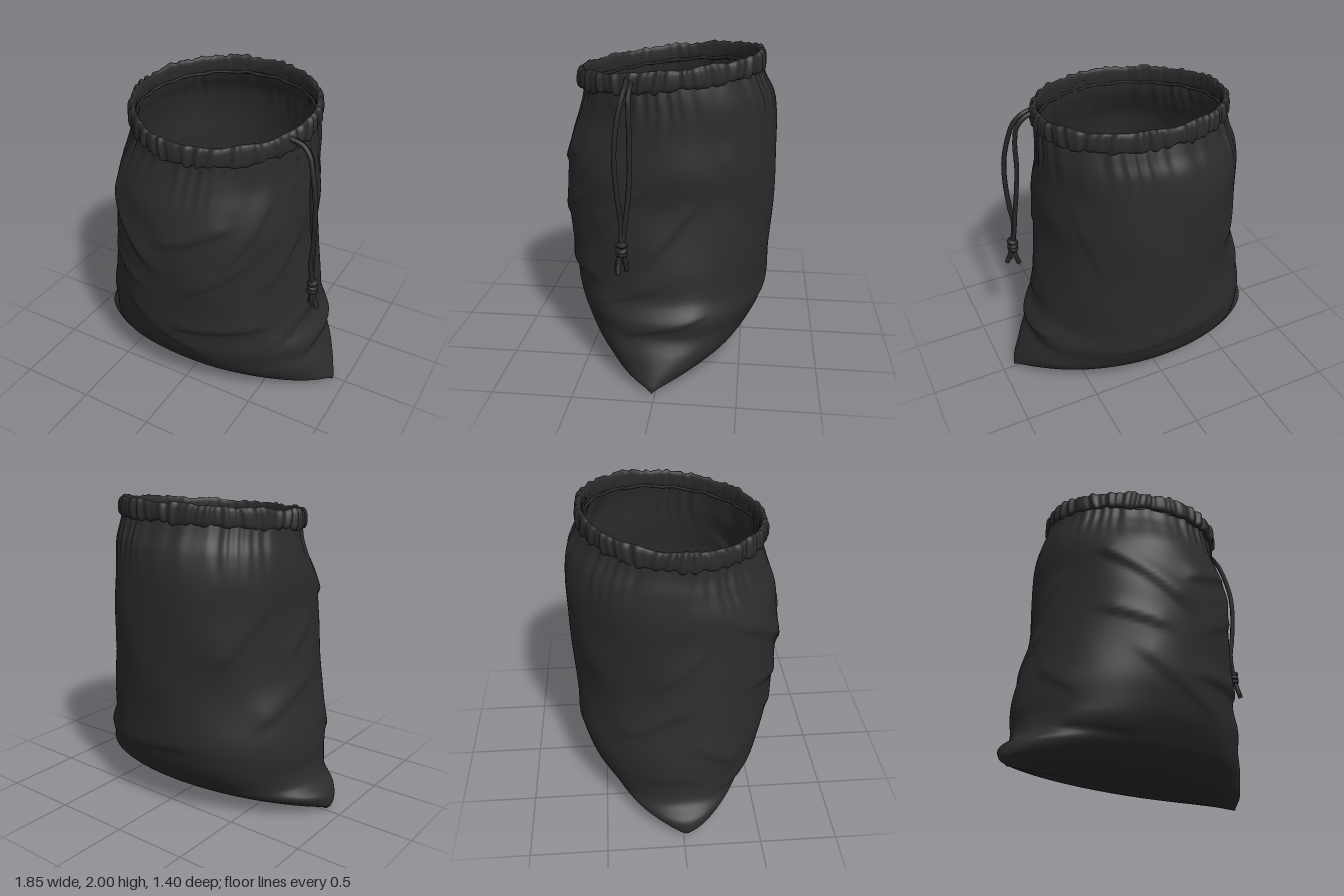
import * as THREE from 'three';

const TILT = 0.105; // the mouth slopes down towards the front
const smooth = THREE.MathUtils.smoothstep;

// Soft bulge around one compass direction, and the uneven roundness of the mouth
const lobe = (th, deg) => Math.max(0, Math.cos(th - deg * Math.PI / 180)) ** 5;
const mouthSkew = th => 0.02 * lobe(th, 315) - 0.035 * lobe(th, 135);

// Skin of a surface p(u, v); u wraps round, v optionally wraps too
function loft(nu, nv, wrapV, point) {
  const pos = [], idx = [];
  const rows = wrapV ? nv : nv + 1;
  for (let j = 0; j < rows; j++)
    for (let i = 0; i < nu; i++) pos.push(...point(i / nu, j / nv));
  for (let j = 0; j < nv; j++)
    for (let i = 0; i < nu; i++) {
      const k = (i + 1) % nu, r = j * nu, t = ((j + 1) % rows) * nu;
      idx.push(r + k, r + i, t + i, r + k, t + i, t + k);
    }
  const g = new THREE.BufferGeometry();
  g.setAttribute('position', new THREE.Float32BufferAttribute(pos, 3));
  g.setIndex(idx);
  g.computeVertexNormals();
  return g;
}

// Catmull-Rom interpolation of whole rows of numbers
function sampleRows(rows, v) {
  const f = v * (rows.length - 1), i = Math.min(Math.floor(f), rows.length - 2), t = f - i;
  const at = k => rows[Math.max(0, Math.min(rows.length - 1, k))];
  return rows[0].map((_, c) => {
    const a = at(i - 1)[c], b = at(i)[c], d = at(i + 1)[c], e = at(i + 2)[c];
    return b + 0.5 * t * (d - a + t * (2 * a - 5 * b + 4 * d - e + t * (3 * (b - d) + e - a)));
  });
}

// Bag sections: height, right edge, left edge, front, back, squareness
const SECTIONS = [
  [0.0, -0.89, 0.915, 0.02, 0.02, 2],
  [0.03, -0.92, 0.917, 0.2, -0.16, 2],
  [0.065, -0.928, 0.905, 0.36, -0.32, 2],
  [0.13, -0.91, 0.875, 0.46, -0.46, 2.05],
  [0.2, -0.83, 0.84, 0.52, -0.54, 2.12],
  [0.3, -0.8, 0.785, 0.585, -0.61, 2.15],
  [0.4, -0.8, 0.78, 0.62, -0.65, 2.12],
  [0.52, -0.785, 0.72, 0.645, -0.675, 2.1],
  [0.7, -0.75, 0.7, 0.67, -0.685, 2.08],
  [0.9, -0.71, 0.67, 0.69, -0.695, 2.08],
  [1.1, -0.68, 0.645, 0.7, -0.7, 2.1],
  [1.3, -0.66, 0.65, 0.685, -0.7, 2.1],
  [1.5, -0.66, 0.625, 0.66, -0.695, 2.06],
  [1.65, -0.635, 0.615, 0.61, -0.67, 2],
  [1.76, -0.6, 0.605, 0.57, -0.61, 2],
  [1.88, -0.58, 0.585, 0.555, -0.56, 2],
];

// Creases: start angle, start height, end angle, end height, depth, width
const FOLDS = [
  [150, 1.45, 90, 0.98, 0.024, 0.06], [55, 1.42, 95, 1.22, 0.02, 0.06],
  [140, 0.95, 105, 0.84, 0.016, 0.04], [90, 0.58, 35, 0.62, 0.02, 0.05],
  [150, 0.24, 110, 0.2, 0.018, 0.05], [80, 0.9, 45, 1.12, 0.014, 0.05],
  [30, 1.55, 60, 1.1, 0.013, 0.06], [0, 0.62, 40, 0.45, 0.016, 0.05],
  [-25, 0.45, 25, 0.3, 0.014, 0.05], [10, 1.2, 35, 0.9, 0.014, 0.05],
  [175, 0.9, 215, 0.65, 0.014, 0.06], [200, 1.4, 235, 1.0, 0.011, 0.07],
  [330, 1.45, 310, 1.0, 0.011, 0.07], [170, 1.25, 190, 1.05, 0.01, 0.05],
  [250, 0.5, 300, 0.4, 0.01, 0.06], [345, 1.1, 365, 0.8, 0.012, 0.05],
  [170, 0.6, 150, 0.45, 0.014, 0.05], [120, 0.7, 75, 0.36, 0.013, 0.06],
];

function foldDepth(deg, y) {
  let sum = 0;
  const K = 0.0115; // degrees to surface length
  for (const [a0, y0, a1, y1, depth, w] of FOLDS) {
    const da = ((deg - a0 + 540) % 360) - 180;
    const dx = (a1 - a0) * K, dy = y1 - y0, px = da * K, py = y - y0;
    const len = Math.hypot(dx, dy);
    const t = (px * dx + py * dy) / (len * len);
    const dist = (px * dy - py * dx) / len;
    const end = Math.max(0, Math.abs(t - 0.5) - 0.3) * len / 0.1;
    const side = dist * Math.sign(dx) > 0 ? w * 0.5 : w * 1.7;
    sum += depth * Math.exp(-((dist / side) ** 2) - end * end);
  }
  return sum;
}

function bagPoint(u, v) {
  const th = u * Math.PI * 2, c = Math.cos(th), s = Math.sin(th);
  const [y, x0, x1, zf, zb, p] = sampleRows(SECTIONS, v);
  const pw = (n) => Math.sign(n) * Math.abs(n) ** (2 / p);
  const mid = (x0 + x1) / 2, midZ = Math.min(0.02, (zf + zb) / 2);
  // creases, soft lumps, a dent at the back right and the gathers under the hem
  const body = smooth(y, 0.06, 0.3) * (1 - smooth(y, 1.6, 1.8));
  const lumps = 0.004 * Math.sin(3 * th + 5 * y) + 0.003 * Math.sin(7 * th - 8 * y + 1);
  const dent = 0.032 * lobe(th, 225) * Math.exp(-(((y - 0.85) / 0.28) ** 2));
  const pleat = (0.5 + 0.5 * Math.sin(5 * th + 1)) * Math.sin(41 * th + 3 * Math.sin(5 * th))
    + 0.6 * Math.sin(23 * th + 2 * Math.sin(3 * th));
  const gather = 0.007 * pleat * smooth(y, 1.45, 1.78);
  const d = body * (foldDepth(u * 360, y) - 0.005 + lumps) - dent + gather
    + mouthSkew(th) * smooth(y, 1.35, 1.8);
  const x = mid + (x1 - x0) / 2 * pw(c) + d * c;
  const z = midZ + (s > 0 ? zf - midZ : midZ - zb) * pw(s) + d * s;
  return [x, y - TILT * z * smooth(y, 1.1, 1.8), z];
}

// Puffed, ruffled hem round the mouth, with slanting gathers
function hemPoint(u, v) {
  const th = u * Math.PI * 2, ph = v * Math.PI * 2;
  const out = Math.cos(ph), up = Math.sin(ph);
  const a = th + 0.03 * up * Math.sin(6 * th + 1);
  const ruffle = Math.sin(37 * a + 2.5 * Math.sin(4 * a)) + 0.7 * Math.sin(61 * a + 3 * Math.sin(3 * a));
  const sway = Math.sin(9 * th) + Math.sin(14 * th + 2) + (up < 0 ? 1.2 * Math.sin(27 * th + 2 * Math.sin(5 * th)) : 0);
  const r = 0.58 + mouthSkew(th) + 0.021 * out + ruffle * 0.007 * (0.6 + 0.4 * out) - 0.004 * up;
  const x = r * 1.02 * Math.cos(th) + 0.006, z = r * Math.sin(th);
  const h = Math.sign(up) * Math.abs(up) ** 0.7 * (0.062 + 0.004 * sway);
  return [x, 1.873 - TILT * z + h + 0.003 * ruffle * up, z];
}

// Folded-in edge inside the hem
function edgePoint(u, v) {
  const a = u * Math.PI * 2, b = v * Math.PI * 2;
  const r = 0.562 + mouthSkew(a) + 0.009 * Math.cos(b) + 0.004 * Math.sin(31 * a);
  const z = r * Math.sin(a);
  const y = 1.823 - TILT * z + 0.01 * Math.sin(b) + 0.004 * Math.sin(17 * a);
  return [r * 1.02 * Math.cos(a) + 0.006, y, z];
}

export function createModel() {
  const model = new THREE.Group();
  const cloth = new THREE.MeshStandardMaterial({ color: 0x2b2b2b, side: THREE.DoubleSide });
  cloth.name = 'black cloth';
  const cordMat = new THREE.MeshStandardMaterial({ color: 0x262626 });
  cordMat.name = 'black cord';

  const add = (name, geo, mat, parent = model) => {
    const m = new THREE.Mesh(geo, mat);
    m.name = name;
    parent.add(m);
    return m;
  };

  add('bag', loft(240, 120, false, bagPoint), cloth);
  add('hem', loft(420, 18, true, hemPoint), cloth);
  add('innerHemEdge', loft(160, 6, true, edgePoint), cloth);

  // Drawstring: two strands, knot and frayed tails
  const drawstring = new THREE.Group();
  drawstring.name = 'drawstring';
  model.add(drawstring);
  const tube = (name, pts, r, n = 60) => {
    const path = new THREE.CatmullRomCurve3(pts.map(p => new THREE.Vector3(...p)));
    add(name, new THREE.TubeGeometry(path, n, r, 8), cordMat, drawstring);
  };
  tube('innerStrand', [[0.56, 1.87, 0.17], [0.64, 1.84, 0.17], [0.69, 1.785, 0.17], [0.71, 1.69, 0.168],
    [0.715, 1.5, 0.165], [0.735, 1.32, 0.165], [0.755, 1.15, 0.178], [0.765, 1.02, 0.195], [0.78, 0.9, 0.21]], 0.016);
  tube('outerStrand', [[0.56, 1.88, 0.2], [0.65, 1.85, 0.195], [0.7, 1.8, 0.205], [0.735, 1.7, 0.225],
    [0.768, 1.55, 0.243], [0.778, 1.4, 0.245], [0.772, 1.2, 0.23], [0.76, 1.06, 0.217], [0.785, 0.9, 0.21]], 0.016);
  for (const [y, tilt] of [[0.925, 0.3], [0.895, -0.35], [0.868, 0.15]]) {
    const wrap = add('knot', new THREE.TorusGeometry(0.02, 0.018, 8, 20), cordMat, drawstring);
    wrap.position.set(0.782, y, 0.21);
    wrap.rotation.set(Math.PI / 2, tilt, 0);
  }
  tube('tail', [[0.78, 0.88, 0.205], [0.775, 0.82, 0.19], [0.757, 0.752, 0.185]], 0.016, 12);
  tube('tail', [[0.785, 0.88, 0.215], [0.805, 0.81, 0.225], [0.83, 0.755, 0.225]], 0.016, 12);
  tube('tail', [[0.782, 0.88, 0.21], [0.792, 0.82, 0.235], [0.8, 0.765, 0.24]], 0.013, 12);

  return model;
}
